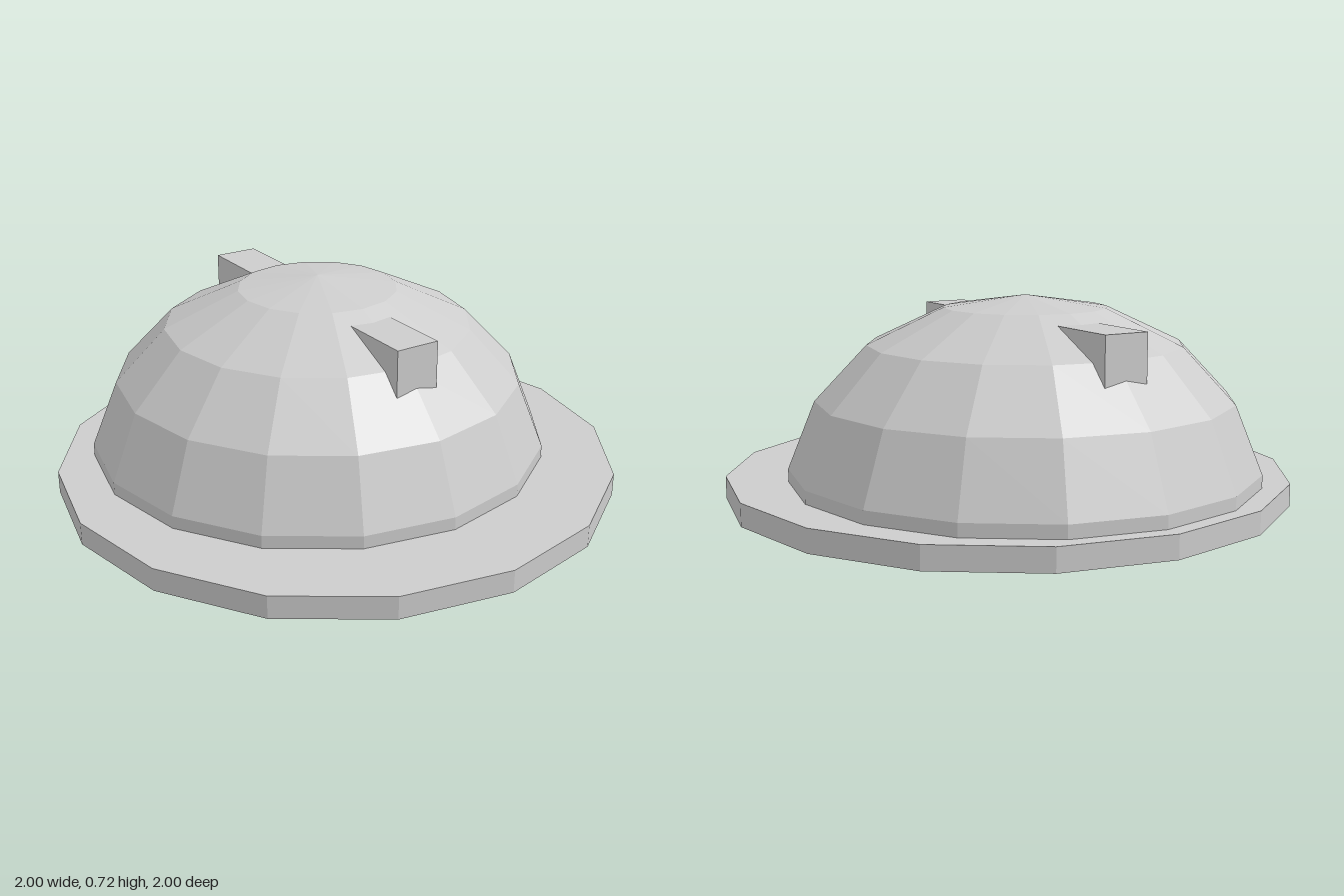
import * as THREE from 'three';

export function createModel() {
  const group = new THREE.Group();
  const grey = new THREE.MeshStandardMaterial({ color: 0xcccccc, flatShading: true });
  grey.name = 'light grey';

  const add = (name, geometry, x, y, z) => {
    const mesh = new THREE.Mesh(geometry, grey);
    mesh.name = name;
    mesh.position.set(x, y, z);
    group.add(mesh);
  };

  const sides = 16;
  const domeZ = -0.12;

  // Flat round base
  add('base', new THREE.CylinderGeometry(1, 1, 0.08, sides), 0, 0.04, 0);

  // Faceted dome, set towards the back of the base
  const profile = [
    [0.825, 0.07], [0.825, 0.125], [0.73, 0.36], [0.55, 0.55], [0.285, 0.675], [0, 0.717],
  ].map(([r, y]) => new THREE.Vector2(r, y));
  add('dome', new THREE.LatheGeometry(profile, sides), 0, 0, domeZ);

  // Square blocks jutting from the front and back of the dome
  for (const [name, dir] of [['frontBlock', 1], ['backBlock', -1]]) {
    add(name, new THREE.BoxGeometry(0.16, 0.2, 0.4), 0, 0.545, domeZ + dir * 0.4);
  }

  return group;
}
